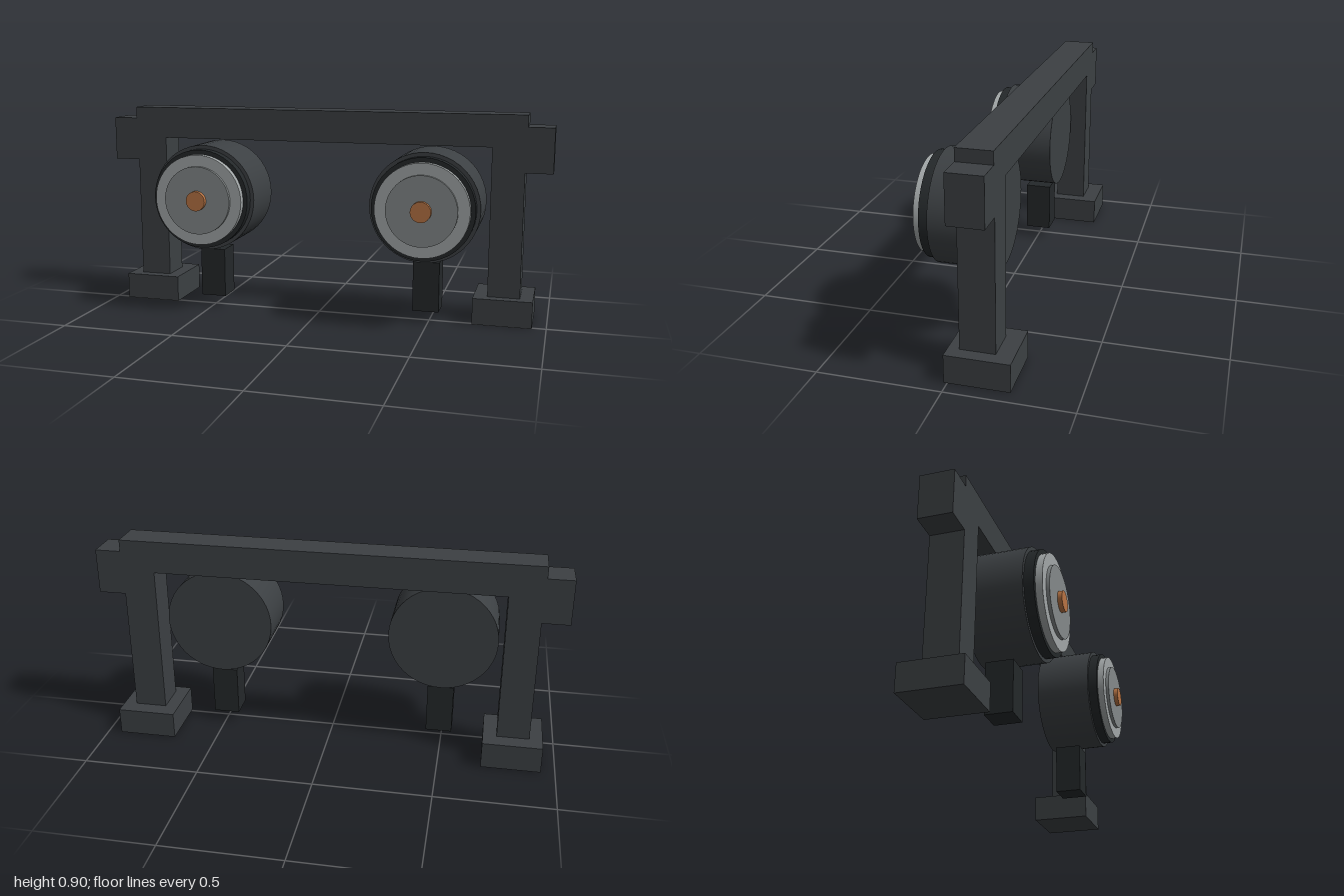
import * as THREE from 'three';

const paint = (color) => new THREE.MeshStandardMaterial({ color });
const frameMat = paint(0x3c4043);
const darkMat = paint(0x24282a);
const paleMat = paint(0xa2a7a8);
const greyMat = paint(0x84898a);
const copperMat = paint(0xb87444);

// Box given by its [min, max] range on each axis
function box(name, [x0, x1], [y0, y1], [z0, z1], material) {
  const mesh = new THREE.Mesh(new THREE.BoxGeometry(x1 - x0, y1 - y0, z1 - z0), material);
  mesh.position.set((x0 + x1) / 2, (y0 + y1) / 2, (z0 + z1) / 2);
  mesh.name = name;
  return mesh;
}

// Disc along z between two depths
function disc(name, radius, z0, z1, material) {
  const geometry = new THREE.CylinderGeometry(radius, radius, z1 - z0, 48).rotateX(Math.PI / 2);
  const mesh = new THREE.Mesh(geometry, material);
  mesh.position.z = (z0 + z1) / 2;
  mesh.name = name;
  return mesh;
}

// Stepped round buffer with a hanging block beneath it
function createBuffer(x) {
  const buffer = new THREE.Group();
  buffer.name = 'buffer';
  const head = new THREE.Group();
  head.name = 'bufferHead';
  head.position.y = 0.523;
  head.add(
    disc('drum', 0.233, -0.1, 0.143, frameMat),
    disc('darkCollar', 0.217, 0.143, 0.183, darkMat),
    disc('paleRing', 0.198, 0.183, 0.211, paleMat),
    disc('facePlate', 0.149, 0.211, 0.225, greyMat),
    disc('copperCentre', 0.043, 0.225, 0.244, copperMat),
  );
  buffer.add(head, box('hangingBlock', [-0.057, 0.057], [0.053, 0.272], [-0.062, 0.053], darkMat));
  buffer.position.x = x;
  return buffer;
}

export function createModel() {
  const model = new THREE.Group();
  model.name = 'bufferFrame';
  const depth = [-0.172, -0.031];

  model.add(box('crossBeam', [-0.89, 0.89], [0.765, 0.904], depth, frameMat));

  // Mirrored post, foot, end bracket and buffer
  for (const side of [-1, 1]) {
    const span = (a, b) => (side > 0 ? [a, b] : [-b, -a]);
    model.add(
      box('post', span(0.745, 0.884), [0.116, 0.765], depth, frameMat),
      box('foot', span(0.686, 0.94), [0, 0.116], [-0.243, 0.014], frameMat),
      box('endBracket', span(0.89, 1), [0.66, 0.853], depth, frameMat),
      box('bracketJoint', span(0.88, 0.89), [0.66, 0.765], depth, frameMat),
      createBuffer(side * 0.49),
    );
  }
  return model;
}
